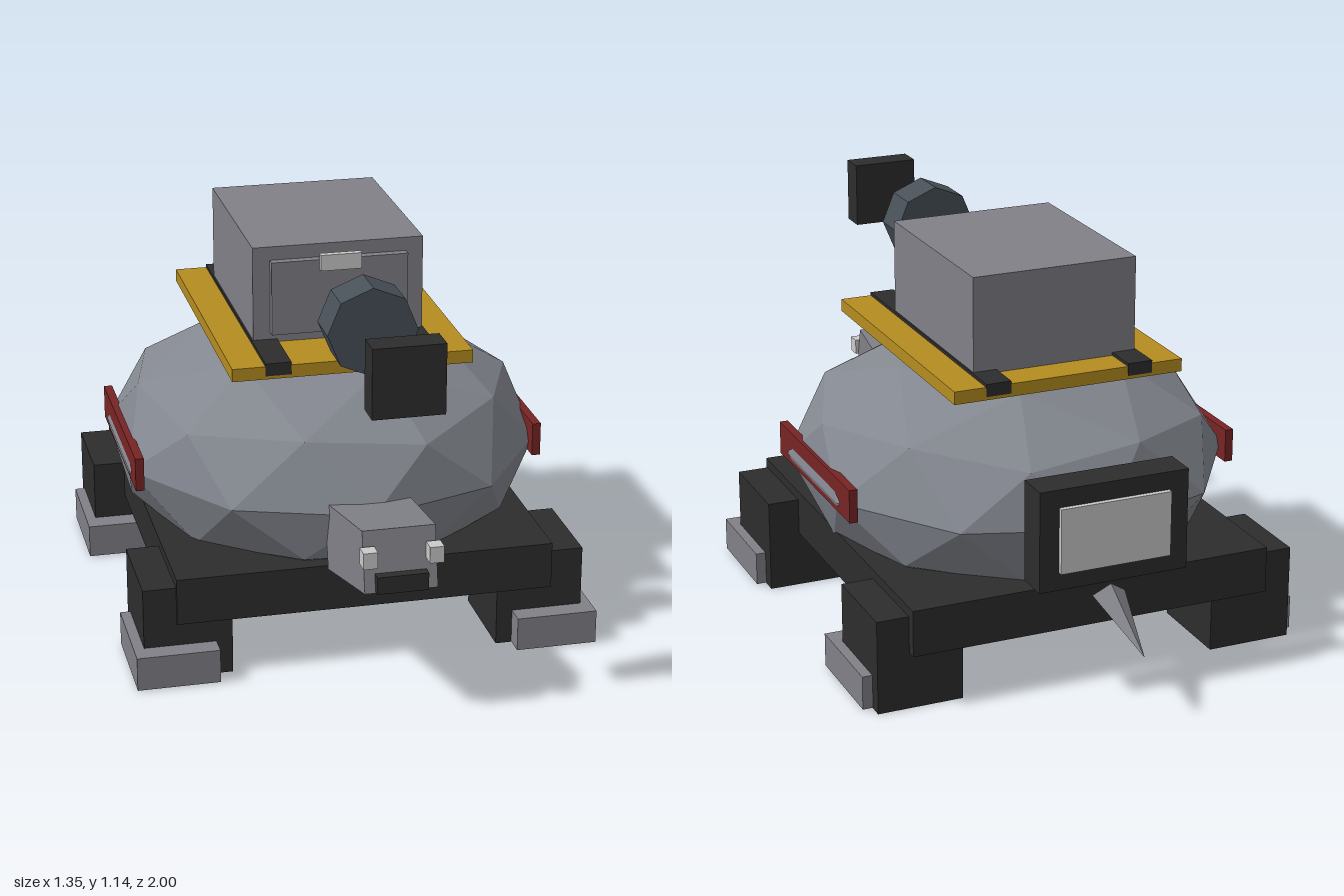
import * as THREE from 'three';

const material = (name, color) => {
  const m = new THREE.MeshStandardMaterial({ color, flatShading: true });
  m.name = name;
  return m;
};

export function createModel() {
  const shellGrey = material('shell grey', 0x83878f);
  const metal = material('metal grey', 0x808087);
  const dark = material('dark rubber', 0x2d2d2d);
  const gold = material('gold', 0xb58c20);
  const red = material('red', 0x782424);
  const light = material('light grey', 0xcacaca);
  const slate = material('slate', 0x485058);

  const model = new THREE.Group();
  model.name = 'turtleRobot';

  const add = (name, geometry, mat) => {
    const mesh = new THREE.Mesh(geometry, mat);
    mesh.name = name;
    model.add(mesh);
    return mesh;
  };
  // box given by its limits on each axis
  const box = (name, mat, [x0, x1], [y0, y1], [z0, z1]) => {
    const mesh = add(name, new THREE.BoxGeometry(x1 - x0, y1 - y0, z1 - z0), mat);
    mesh.position.set((x0 + x1) / 2, (y0 + y1) / 2, (z0 + z1) / 2);
    return mesh;
  };
  // the same box on both sides
  const pair = (name, mat, [x0, x1], y, z) => {
    box('left' + name, mat, [x0, x1], y, z);
    box('right' + name, mat, [-x1, -x0], y, z);
  };

  // faceted shell, pole upwards, flattened
  const shell = new THREE.IcosahedronGeometry(1, 1);
  shell.rotateX(-Math.atan((1 + Math.sqrt(5)) / 2));
  shell.rotateY(Math.PI / 2);
  shell.scale(0.645, 0.357, 0.69);
  shell.translate(0, 0.48, -0.05);
  shell.computeVertexNormals();
  add('shell', shell, shellGrey);

  // chassis, legs and feet
  box('chassis', dark, [-0.55, 0.55], [0.17, 0.308], [-0.68, 0.565]);
  pair('FrontLeg', dark, [0.39, 0.645], [0, 0.28], [0.265, 0.555]);
  pair('BackLeg', dark, [0.39, 0.645], [0, 0.28], [-0.65, -0.372]);
  pair('FrontFoot', metal, [0.437, 0.675], [0.002, 0.102], [0.312, 0.615]);
  pair('BackFoot', metal, [0.437, 0.675], [0.002, 0.102], [-0.61, -0.305]);

  // side plates
  pair('SidePlate', red, [0.583, 0.608], [0.45, 0.55], [-0.35, 0.245]);

  // cargo deck, straps and box
  box('deck', gold, [-0.35, 0.35], [0.82, 0.858], [-0.503, 0.393]);
  pair('Strap', dark, [0.18, 0.255], [0.83, 0.867], [-0.505, 0.395]);
  box('cargoBox', metal, [-0.25, 0.25], [0.858, 1.145], [-0.4, 0.2]);
  box('cargoDoor', metal, [-0.2, 0.2], [0.887, 1.105], [0.19, 0.225]);
  box('doorHandle', light, [-0.06, 0.06], [1.075, 1.122], [0.22, 0.24]);

  // floating drum and block ahead of the cargo box
  const drum = add('drum', new THREE.CylinderGeometry(0.128, 0.128, 0.122, 8), slate);
  drum.rotation.x = Math.PI / 2;
  drum.position.set(0, 1.017, 0.552);
  box('frontBlock', dark, [-0.1, 0.1], [0.92, 1.117], [0.92, 1]);

  // head: box narrowing forwards, tilted up
  const headShape = new THREE.BoxGeometry(1, 1, 0.366);
  const p = headShape.attributes.position;
  for (let i = 0; i < p.count; i++) {
    const front = p.getZ(i) > 0;
    p.setX(i, p.getX(i) * (front ? 0.204 : 0.24));
    p.setY(i, p.getY(i) * (front ? 0.174 : 0.194));
  }
  headShape.computeVertexNormals();
  const head = add('head', headShape, metal);
  head.rotation.x = -0.21;
  head.position.set(0, 0.442, 0.748);
  box('mouth', dark, [-0.072, 0.072], [0.398, 0.448], [0.915, 0.962]);
  pair('Eye', light, [0.072, 0.112], [0.478, 0.525], [0.925, 0.967]);

  // rear display
  box('displayFrame', dark, [-0.225, 0.225], [0.352, 0.65], [-0.8, -0.698]);
  box('displayScreen', light, [-0.167, 0.167], [0.405, 0.597], [-0.815, -0.795]);

  // pointed tail, sloping down to the back
  const tailShape = new THREE.ConeGeometry(1, 0.25, 4);
  tailShape.scale(0.05, 1, 0.037);
  const tail = add('tail', tailShape, metal);
  tail.rotation.x = -Math.PI / 2 - 0.405;
  tail.position.set(0, 0.254, -0.885);

  return model;
}
